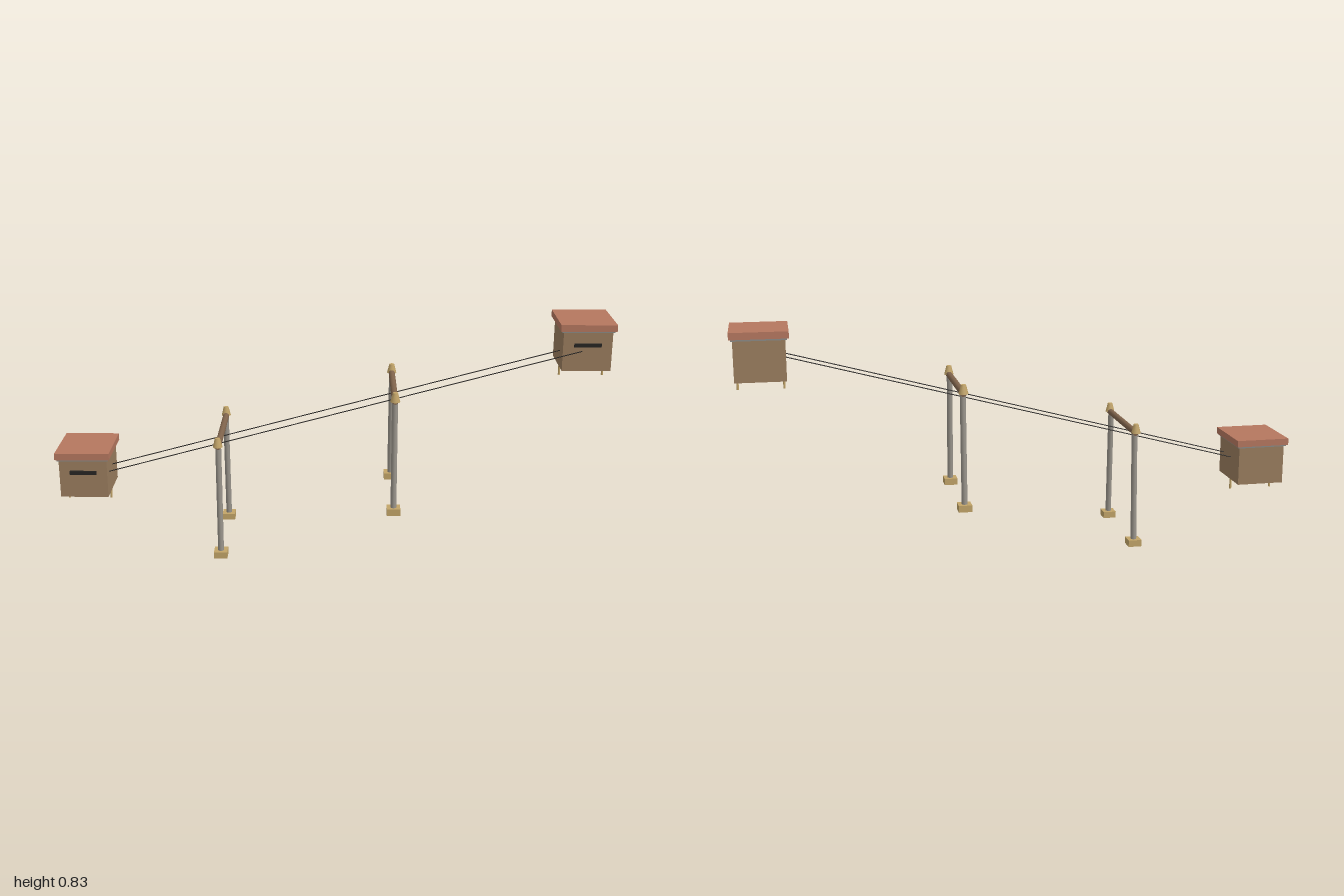
import * as THREE from 'three';

const mat = (color) => new THREE.MeshStandardMaterial({ color });
const roofRed = mat(0xb5775f), wood = mat(0x9a7d5e), brass = mat(0xc2a468);
const steel = mat(0x99948b), beamBrown = mat(0x80644c), black = mat(0x262422), trimGrey = mat(0x8a8a86);

function add(group, name, geometry, material, x, y, z) {
  const mesh = new THREE.Mesh(geometry, material);
  mesh.name = name;
  mesh.position.set(x, y, z);
  group.add(mesh);
  return mesh;
}

const box = (w, h, d) => new THREE.BoxGeometry(w, h, d);

// Round bar stretched between two points
function bar(group, name, a, b, radius, sides, material) {
  const dir = new THREE.Vector3().subVectors(b, a);
  const geometry = new THREE.CylinderGeometry(radius, radius, dir.length(), sides);
  const mesh = add(group, name, geometry, material, 0, 0, 0);
  mesh.position.addVectors(a, b).multiplyScalar(0.5);
  mesh.quaternion.setFromUnitVectors(new THREE.Vector3(0, 1, 0), dir.normalize());
  return mesh;
}

// Station hut: origin at the underside of the pegs
function createStation() {
  const g = new THREE.Group();
  g.name = 'station';
  add(g, 'body', box(0.173, 0.144, 0.198), wood, 0, 0.115, 0);
  add(g, 'roofTrim', box(0.185, 0.007, 0.211), trimGrey, 0, 0.1875, 0);
  add(g, 'roof', box(0.197, 0.024, 0.222), roofRed, 0, 0.202, 0);
  add(g, 'slot', box(0.096, 0.014, 0.01), black, 0, 0.138, 0.0995);
  for (const s of [-1, 1]) {
    add(g, 'peg', new THREE.CylinderGeometry(0.004, 0.004, 0.05, 10), brass, s * 0.078, 0.025, 0);
  }
  return g;
}

// Support frame: two leaning legs on feet, joined by a cross beam
function createSupport() {
  const g = new THREE.Group();
  g.name = 'support';
  for (const s of [-1, 1]) {
    add(g, 'foot', box(0.048, 0.024, 0.048), brass, 0, 0.012, s * 0.173);
    const leg = bar(g, 'leg', new THREE.Vector3(0, 0.002, s * 0.174),
      new THREE.Vector3(0, 0.42, s * 0.157), 0.012, 12, steel);
    leg.scale.x = 0.88;
    add(g, 'cap', new THREE.CylinderGeometry(0.009, 0.0175, 0.033, 8), brass, 0, 0.436, s * 0.174);
  }
  bar(g, 'crossBeam', new THREE.Vector3(0, 0.42, -0.174),
    new THREE.Vector3(0, 0.42, 0.174), 0.0115, 12, beamBrown);
  return g;
}

export function createModel() {
  const model = new THREE.Group();
  model.name = 'cableway';

  const lower = createStation();
  lower.name = 'lowerStation';
  lower.position.set(-0.901, 0.145, -0.023);
  const upper = createStation();
  upper.name = 'upperStation';
  upper.position.set(0.901, 0.613, -0.073);
  model.add(lower, upper);

  const lowSupport = createSupport();
  lowSupport.name = 'lowerSupport';
  lowSupport.position.set(-0.4, 0, 0);
  const highSupport = createSupport();
  highSupport.name = 'upperSupport';
  highSupport.position.set(0.22, 0.169, 0);
  model.add(lowSupport, highSupport);

  // Pair of cables running under both cross beams
  for (const z of [0.038, -0.037]) {
    bar(model, 'cable', new THREE.Vector3(-0.83, 0.269, z),
      new THREE.Vector3(0.88, 0.732, z), 0.0018, 8, black);
  }
  return model;
}
